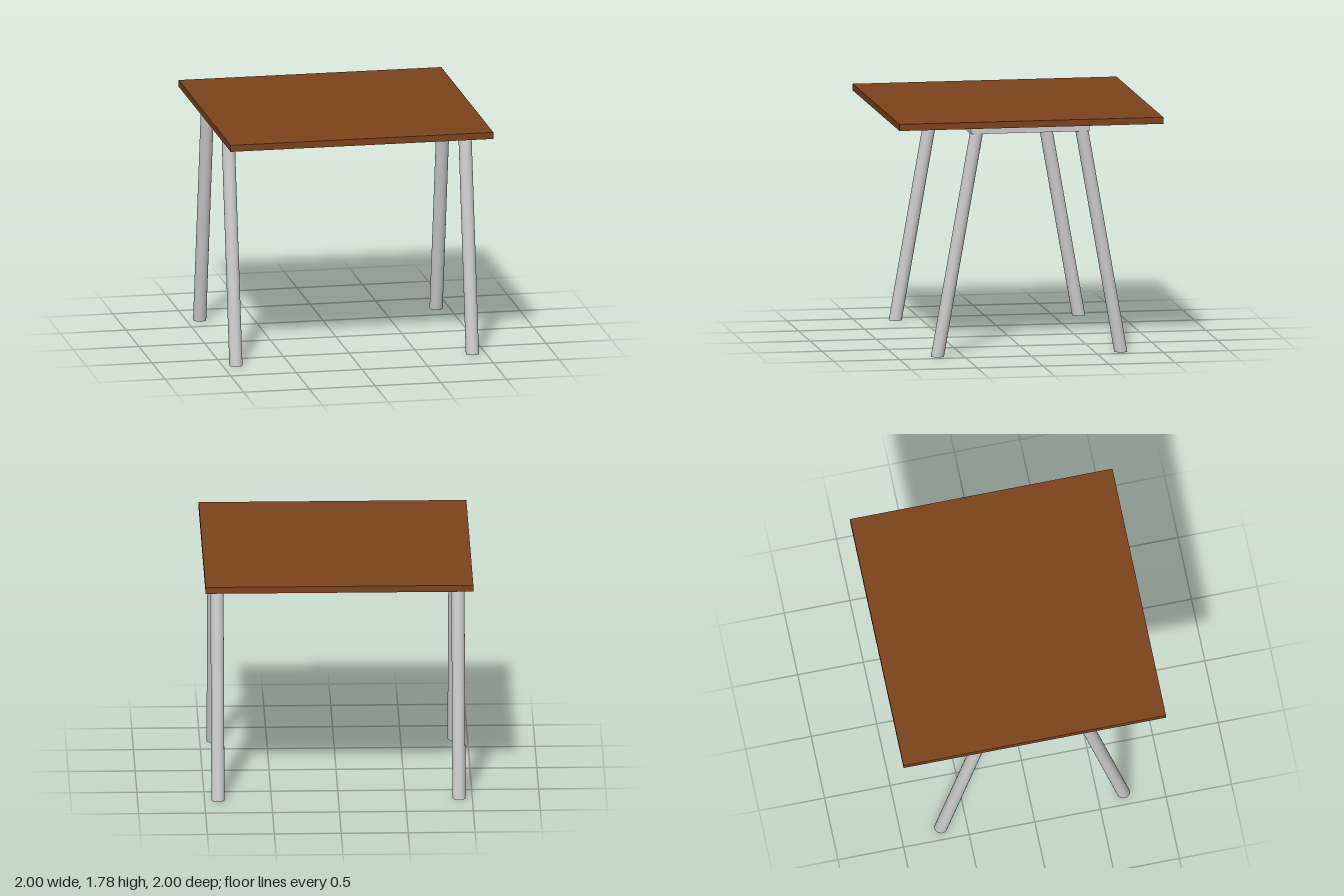
import * as THREE from 'three';

export function createModel() {
  const model = new THREE.Group();
  const wood = new THREE.MeshStandardMaterial({ color: 0x7d431b });
  const metal = new THREE.MeshStandardMaterial({ color: 0xcccccc });

  const add = (name, geometry, material, x, y, z) => {
    const mesh = new THREE.Mesh(geometry, material);
    mesh.name = name;
    mesh.position.set(x, y, z);
    model.add(mesh);
  };

  // Heights of the stacked layers
  const legTop = 1.68, frameTop = 1.727, tableTop = 1.777;
  const barH = frameTop - legTop, barW = 0.1;
  const halfX = 0.95, halfZ = 0.45;

  add('tabletop', new THREE.BoxGeometry(2, tableTop - frameTop, 2), wood, 0, (tableTop + frameTop) / 2, 0);

  // Rectangular frame under the top: long rails with short rails between them
  const barY = legTop + barH / 2;
  for (const s of [1, -1]) {
    add(s > 0 ? 'frontRail' : 'backRail',
      new THREE.BoxGeometry(2 * halfX, barH, barW), metal, 0, barY, s * (halfZ - barW / 2));
    add(s > 0 ? 'leftRail' : 'rightRail',
      new THREE.BoxGeometry(barW, barH, 2 * (halfZ - barW)), metal, s * (halfX - barW / 2), barY, 0);
  }

  // Round legs, sheared so they splay in z while their ends stay level
  const splay = 0.295;
  for (const sx of [1, -1]) {
    for (const sz of [1, -1]) {
      const leg = new THREE.CylinderGeometry(0.049, 0.049, legTop, 32);
      const shear = new THREE.Matrix4();
      shear.elements[6] = -sz * splay / legTop; // z shifts with y
      leg.applyMatrix4(shear);
      add((sz > 0 ? 'front' : 'back') + (sx > 0 ? 'Left' : 'Right') + 'Leg',
        leg, metal, sx * 0.9, legTop / 2, sz * (0.4 + splay / 2));
    }
  }
  return model;
}
